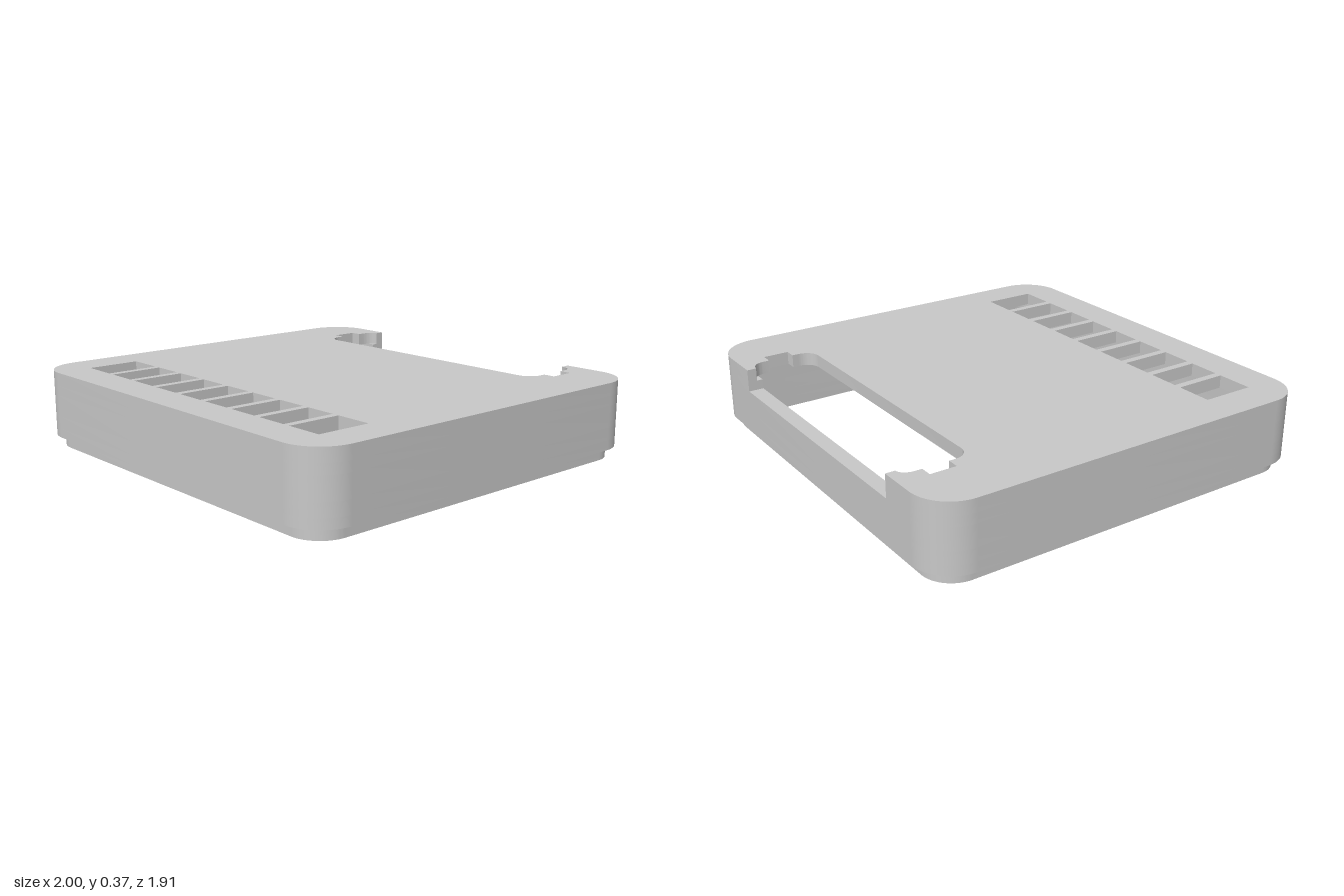
import * as THREE from 'three';
import { toCreasedNormals } from 'three/addons/utils/BufferGeometryUtils.js';

const grey = new THREE.MeshStandardMaterial({ color: 0xc8c8c8 });
grey.name = 'casing grey';

const Q = Math.PI / 2;
const NOTCH = [-0.645, 0.63]; // x range of the gap in the back wall

// Shapes are drawn in plan: shape x = x, shape y = z.
function slab(name, shape, y0, y1) {
  const geo = new THREE.ExtrudeGeometry(shape, { depth: y1 - y0, bevelEnabled: false, curveSegments: 14 });
  geo.rotateX(Q);
  geo.translate(0, y1, 0);
  const mesh = new THREE.Mesh(toCreasedNormals(geo, 0.5), grey);
  mesh.name = name;
  return mesh;
}

// Rounded rectangle; optional shallow pockets in the two side walls.
function roundedRect(path, w, d, r, pocket = 0) {
  path.moveTo(-w + r, -d);
  path.lineTo(w - r, -d);
  path.absarc(w - r, -d + r, r, -Q, 0);
  const steps = [[-0.37, 0], [-0.37, 1], [-0.22, 1], [-0.22, 0], [0.2, 0], [0.2, 1], [0.35, 1], [0.35, 0]];
  if (pocket) steps.forEach(([z, on]) => path.lineTo(w + on * pocket, z));
  path.lineTo(w, d - r);
  path.absarc(w - r, d - r, r, 0, Q);
  path.lineTo(-w + r, d);
  path.absarc(-w + r, d - r, r, Q, 2 * Q);
  if (pocket) [...steps].reverse().forEach(([z, on]) => path.lineTo(-w - on * pocket, z));
  path.lineTo(-w, -d + r);
  path.absarc(-w + r, -d + r, r, 2 * Q, 3 * Q);
  return path;
}

function ring(w, d, r, pocket) {
  const shape = roundedRect(new THREE.Shape(), w, d, r);
  shape.holes.push(roundedRect(new THREE.Path(), 0.93, 0.885, 0.11, pocket));
  return shape;
}

// Outer outline from one side of the back notch round to the other.
function openOutline() {
  const W = 1, D = 0.955, R = 0.18;
  const s = new THREE.Shape();
  s.moveTo(NOTCH[1], -D);
  s.lineTo(W - R, -D);
  s.absarc(W - R, -D + R, R, -Q, 0);
  s.lineTo(W, D - R);
  s.absarc(W - R, D - R, R, 0, Q);
  s.lineTo(-W + R, D);
  s.absarc(-W + R, D - R, R, Q, 2 * Q);
  s.lineTo(-W, -D + R);
  s.absarc(-W + R, -D + R, R, 2 * Q, 3 * Q);
  s.lineTo(NOTCH[0], -D);
  return s;
}

// Wall layer interrupted by the back notch.
function notchedRing() {
  const w = 0.93, d = 0.885, r = 0.11;
  const s = openOutline();
  s.lineTo(NOTCH[0], -d);
  s.lineTo(-w + r, -d);
  s.absarc(-w + r, -d + r, r, 3 * Q, 2 * Q, true);
  s.lineTo(-w, d - r);
  s.absarc(-w + r, d - r, r, 2 * Q, Q, true);
  s.lineTo(w - r, d);
  s.absarc(w - r, d - r, r, Q, 0, true);
  s.lineTo(w, -d + r);
  s.absarc(w - r, -d + r, r, 0, -Q, true);
  s.lineTo(NOTCH[1], -d);
  s.closePath();
  return s;
}

// Top plate, open at the back, with a stepped cut-out and a row of vents.
function plateShape() {
  const s = openOutline();
  // left end of the cut-out
  s.lineTo(NOTCH[0], -0.912);
  s.quadraticCurveTo(-0.685, -0.905, -0.69, -0.855);
  s.lineTo(-0.69, -0.82);
  s.lineTo(-0.745, -0.82);
  s.lineTo(-0.745, -0.7);
  s.lineTo(-0.69, -0.7);
  s.lineTo(-0.69, -0.67);
  s.absarc(-0.62, -0.67, 0.07, Math.PI, Q, true);
  // right end of the cut-out
  s.lineTo(0.62, -0.6);
  s.absarc(0.62, -0.67, 0.07, Q, 0, true);
  s.lineTo(0.69, -0.7);
  s.lineTo(0.745, -0.7);
  s.lineTo(0.745, -0.82);
  s.lineTo(0.69, -0.82);
  s.lineTo(0.69, -0.855);
  s.quadraticCurveTo(0.685, -0.905, NOTCH[1], -0.912);
  s.closePath();

  // nine vents, the end ones a little wider
  for (let i = -4; i <= 4; i++) {
    const a = i === -4 ? -0.825 : i * 0.182 - 0.074;
    const b = i === 4 ? 0.825 : i * 0.182 + 0.074;
    const h = new THREE.Path();
    h.moveTo(a, 0.535);
    h.lineTo(a, 0.785);
    h.lineTo(b, 0.785);
    h.lineTo(b, 0.535);
    h.closePath();
    s.holes.push(h);
  }
  return s;
}

export function createModel() {
  const model = new THREE.Group();
  model.name = 'vented cover';
  model.add(slab('topPlate', plateShape(), 0.305, 0.365));

  // side walls, with shallow snap pockets on the inside
  const walls = new THREE.Group();
  walls.name = 'walls';
  walls.add(slab('notchedWall', notchedRing(), 0.26, 0.305));
  walls.add(slab('upperWall', ring(1, 0.955, 0.18, 0), 0.16, 0.26));
  walls.add(slab('pocketWall', ring(1, 0.955, 0.18, 0.008), 0.1, 0.16));
  walls.add(slab('lowerWall', ring(1, 0.955, 0.18, 0), 0.055, 0.1));
  model.add(walls);

  // inset lip under the walls
  model.add(slab('lip', ring(0.96, 0.915, 0.14, 0), 0, 0.055));
  return model;
}
